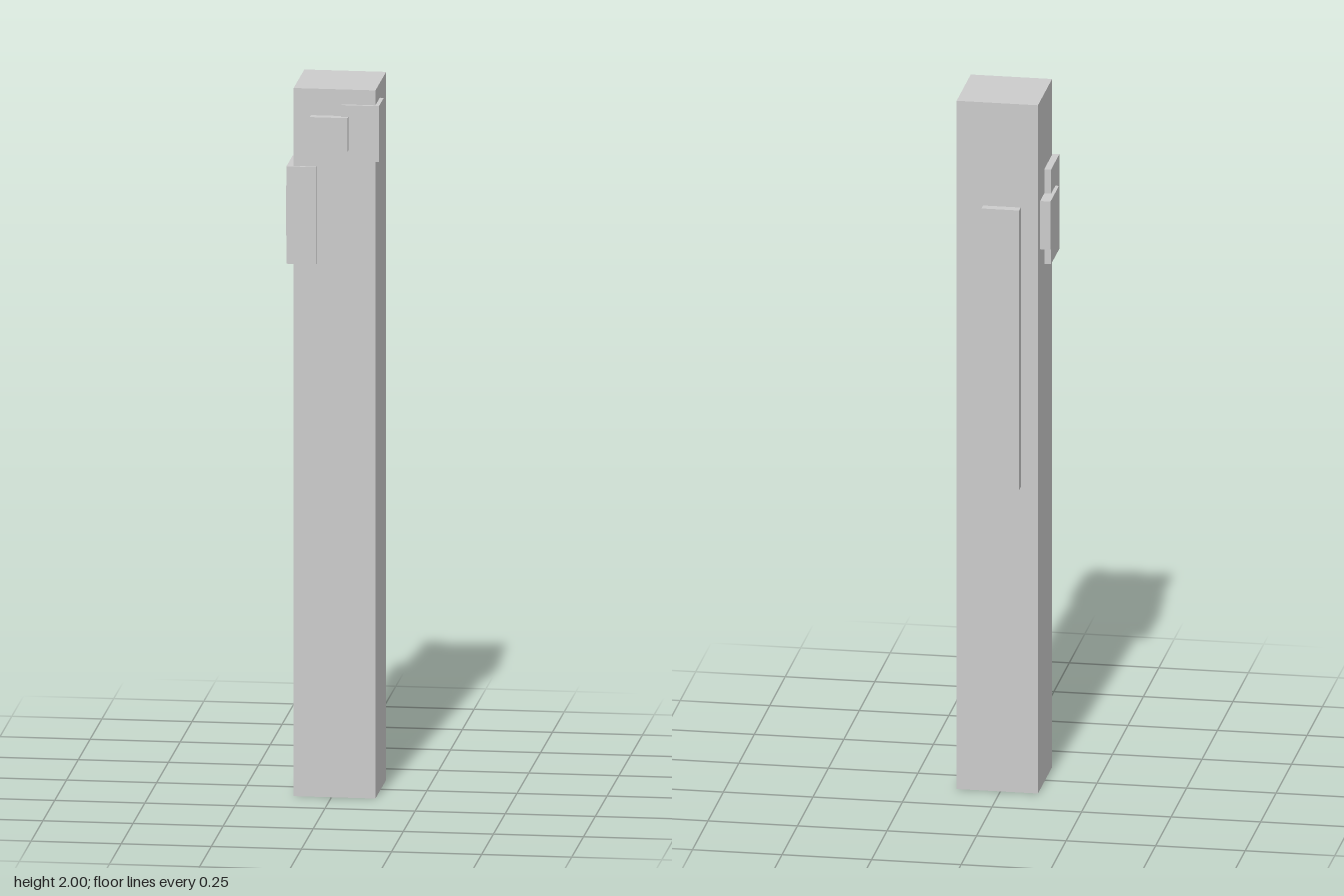
import * as THREE from 'three';

const material = new THREE.MeshStandardMaterial({ color: 0xcccccc, flatShading: true });

// Box given by its extents along each axis
function slab(name, [x0, x1], [y0, y1], [z0, z1]) {
  const mesh = new THREE.Mesh(new THREE.BoxGeometry(x1 - x0, y1 - y0, z1 - z0), material);
  mesh.position.set((x0 + x1) / 2, (y0 + y1) / 2, (z0 + z1) / 2);
  mesh.name = name;
  return mesh;
}

export function createModel() {
  const model = new THREE.Group();
  model.name = 'post';
  model.add(
    // Square post
    slab('column', [-0.105, 0.122], [0, 2], [-0.115, 0.113]),
    // Plates on the front and back faces, sunk slightly into the post
    slab('frontPlate', [-0.057, 0.048], [1.83, 1.925], [0.09, 0.138]),
    slab('backPlate', [-0.057, 0.048], [0.888, 1.7], [-0.141, -0.09]),
    // Blocks wrapping the two front corners
    slab('leftCornerBlock', [0.028, 0.133], [1.8, 1.958], [0.02, 0.123]),
    slab('rightCornerBlock', [-0.124, -0.042], [1.505, 1.78], [-0.013, 0.121]),
    // Small plate on the right face
    slab('rightPlate', [-0.134, -0.08], [1.57, 1.71], [-0.08, 0.057])
  );
  return model;
}
